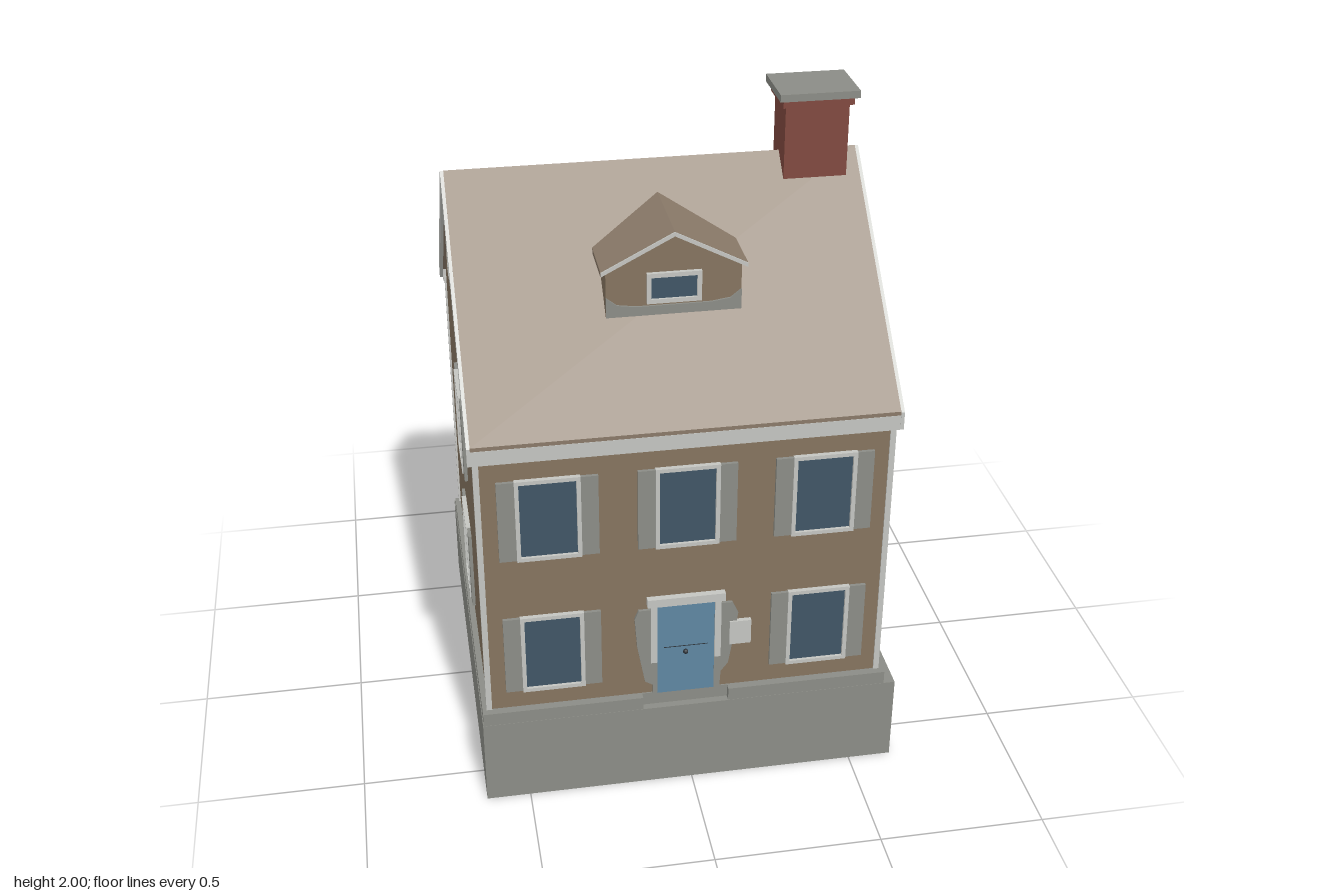
import * as THREE from 'three';

const mat = (name, color) => {
  const m = new THREE.MeshStandardMaterial({ color });
  m.name = name;
  return m;
};

export function createModel() {
  const model = new THREE.Group();
  model.name = 'house';
  const siding = mat('brown siding', 0x85745f);
  const shingle = mat('brown shingle', 0x8a7a69);
  const stone = mat('grey stone', 0x8b8c86);
  const trim = mat('pale trim', 0xc4c5c1);
  const glass = mat('dark blue glass', 0x405566);
  const blue = mat('blue door', 0x5f86a2);
  const brick = mat('red brick', 0x80493f);
  const dark = mat('dark metal', 0x2c3238);

  const add = (name, geo, material, parent = model) => {
    const m = new THREE.Mesh(geo, material);
    m.name = name;
    parent.add(m);
    return m;
  };
  // Box given by its limits on each axis
  const box = (name, material, x0, x1, y0, y1, z0, z1, parent) => {
    const g = new THREE.BoxGeometry(x1 - x0, y1 - y0, z1 - z0);
    g.translate((x0 + x1) / 2, (y0 + y1) / 2, (z0 + z1) / 2);
    return add(name, g, material, parent);
  };
  const shapeOf = (pts) => new THREE.Shape(pts.map(([x, y]) => new THREE.Vector2(x, y)));
  const alongZ = (pts, z0, z1) =>
    new THREE.ExtrudeGeometry(shapeOf(pts), { depth: z1 - z0, bevelEnabled: false }).translate(0, 0, z0);
  // Profile points are (z, y); extruded from x0 to x1
  const alongX = (pts, x0, x1) =>
    new THREE.ExtrudeGeometry(shapeOf(pts), { depth: x1 - x0, bevelEnabled: false })
      .rotateY(-Math.PI / 2).translate(x1, 0, 0);
  // Inverted V of even vertical thickness
  const chevron = (c, half, eave, peak, t) => [
    [c - half, eave], [c - half, eave - t], [c, peak - t], [c + half, eave - t], [c + half, eave], [c, peak],
  ];

  const CX = -0.017, CZ = 0.016;
  const X0 = -0.612, X1 = 0.578, Z0 = -0.572, Z1 = 0.604;

  // Foundation and plinth, with a gap in front of the door
  box('foundation', stone, -0.632, 0.632, 0, 0.28, -0.632, 0.63);
  box('plinth', stone, -0.63, 0.597, 0.28, 0.322, -0.582, 0.608);
  box('plinthFrontRight', stone, -0.63, -0.15, 0.28, 0.322, 0.608, 0.629);
  box('plinthFrontLeft', stone, 0.11, 0.597, 0.28, 0.322, 0.608, 0.629);

  // Walls with gables
  add('walls', alongX([[Z0, 0.32], [Z1, 0.32], [Z1, 1.215], [CZ, 1.76], [Z0, 1.215]], X0, X1), siding);
  for (const x of [X0, X1]) {
    for (const z of [Z0, Z1]) {
      const s = Math.sign(x), t = Math.sign(z);
      const a = [x - s * 0.011, x + s * 0.006], b = [z - t * 0.011, z + t * 0.004];
      box('cornerBoard', trim, Math.min(...a), Math.max(...a), 0.322, 1.2, Math.min(...b), Math.max(...b));
    }
  }

  // Main roof, rake boards and eaves
  add('roof', alongX(chevron(CZ, 0.612, 1.238, 1.8, 0.04), -0.622, 0.587), shingle);
  add('rakeBoardRight', alongX(chevron(CZ, 0.614, 1.236, 1.799, 0.055), -0.632, -0.622), trim);
  add('rakeBoardLeft', alongX(chevron(CZ, 0.614, 1.236, 1.799, 0.055), 0.587, 0.597), trim);
  box('eaveFront', trim, -0.622, 0.587, 1.18, 1.226, 0.6, 0.629);
  box('eaveBack', trim, -0.622, 0.587, 1.18, 1.226, -0.597, -0.568);

  // Frame ring with a pane, facing +z and centred on the origin
  const frame = (g, w, h, b, d) => {
    const s = shapeOf([[-w / 2, -h / 2], [w / 2, -h / 2], [w / 2, h / 2], [-w / 2, h / 2]]);
    const u = w / 2 - b, v = h / 2 - b;
    s.holes.push(new THREE.Path([[-u, -v], [-u, v], [u, v], [u, -v]].map((p) => new THREE.Vector2(...p))));
    add('windowFrame', new THREE.ExtrudeGeometry(s, { depth: d, bevelEnabled: false }), trim, g);
    box('windowPane', glass, -u, u, -v, v, 0, 0.005, g);
  };
  const place = (name, x, y, z, turn) => {
    const g = new THREE.Group();
    g.name = name;
    g.position.set(x, y, z);
    g.rotation.y = turn;
    model.add(g);
    return g;
  };
  const windowAt = (x, y, z, turn) => {
    const g = place('shutteredWindow', x, y, z, turn);
    frame(g, 0.186, 0.266, 0.012, 0.014);
    for (const s of [-1, 1]) {
      const c = s * 0.118;
      box('shutter', stone, c - 0.025, c + 0.025, -0.13, 0.13, 0, 0.01, g);
    }
  };
  const LOW = 0.515, HIGH = 0.978;
  for (const y of [LOW, HIGH]) {
    for (const dx of [-0.397, 0.397]) windowAt(CX + dx, y, Z1, 0);
    for (const dx of [-0.245, 0.245]) windowAt(CX + dx, y, Z0, Math.PI);
    windowAt(X1, y, CZ + 0.003, Math.PI / 2);
    windowAt(X0, y, CZ + 0.003, -Math.PI / 2);
  }
  windowAt(CX, HIGH, Z1, 0);

  // Slatted attic vents in both gables
  for (const [x, turn] of [[X1, Math.PI / 2], [X0, -Math.PI / 2]]) {
    const g = place('atticVent', x, 1.518, CZ + 0.005, turn);
    frame(g, 0.12, 0.116, 0.014, 0.014);
    for (let i = -1; i <= 1; i++) box('ventSlat', dark, -0.046, 0.046, i * 0.022 - 0.003, i * 0.022 + 0.003, 0.004, 0.009, g);
  }

  // Front door, surround and side pieces
  box('door', blue, -0.105, 0.067, 0.322, 0.645, Z1, Z1 + 0.008);
  box('doorRail', dark, -0.085, 0.047, 0.488, 0.49, Z1, Z1 + 0.009);
  box('doorLintel', trim, -0.135, 0.097, 0.645, 0.672, Z1, Z1 + 0.02);
  box('doorJambRight', trim, -0.125, -0.105, 0.44, 0.645, Z1, Z1 + 0.014);
  box('doorJambLeft', trim, 0.067, 0.086, 0.44, 0.645, Z1, Z1 + 0.014);
  add('doorKnob', new THREE.SphereGeometry(0.008, 10, 8).translate(-0.02, 0.47, Z1 + 0.012), dark);
  add('doorSideRight', alongZ([[-0.105, 0.322], [-0.105, 0.63], [-0.16, 0.63], [-0.172, 0.6], [-0.165, 0.5],
    [-0.142, 0.37], [-0.118, 0.355], [-0.118, 0.322]], Z1, Z1 + 0.009), stone);
  add('doorSideLeft', alongZ([[0.067, 0.322], [0.085, 0.322], [0.088, 0.38], [0.11, 0.41], [0.125, 0.5],
    [0.138, 0.59], [0.12, 0.63], [0.067, 0.63]], Z1, Z1 + 0.009), stone);
  box('wallBox', trim, 0.112, 0.177, 0.48, 0.562, Z1, Z1 + 0.014);

  // Dormer on the front slope
  const DF = 0.373;
  add('dormerWalls', alongZ([[-0.21, 1.46], [0.176, 1.46], [0.176, 1.61], [CX, 1.712], [-0.21, 1.61]], 0.14, DF), siding);
  add('dormerRoof', alongZ(chevron(CX, 0.208, 1.618, 1.726, 0.014), 0.06, 0.383), shingle);
  add('dormerRake', alongZ(chevron(CX, 0.208, 1.617, 1.725, 0.012), 0.383, 0.388), trim);
  add('dormerSkirt', alongZ([[-0.21, 1.474], [0.176, 1.474], [0.176, 1.535], [0.145, 1.51], [0.09, 1.502],
    [-0.124, 1.502], [-0.179, 1.51], [-0.21, 1.535]], DF, DF + 0.006), stone);
  frame(place('dormerWindow', CX, 1.557, DF, 0), 0.156, 0.092, 0.013, 0.012);

  // Chimney
  box('chimneyStack', brick, 0.357, 0.545, 1.6, 1.96, -0.048, 0.086);
  box('chimneyCollar', brick, 0.347, 0.556, 1.955, 1.98, -0.062, 0.098);
  box('chimneyCap', stone, 0.335, 0.569, 1.978, 2.0, -0.08, 0.11);

  return model;
}
